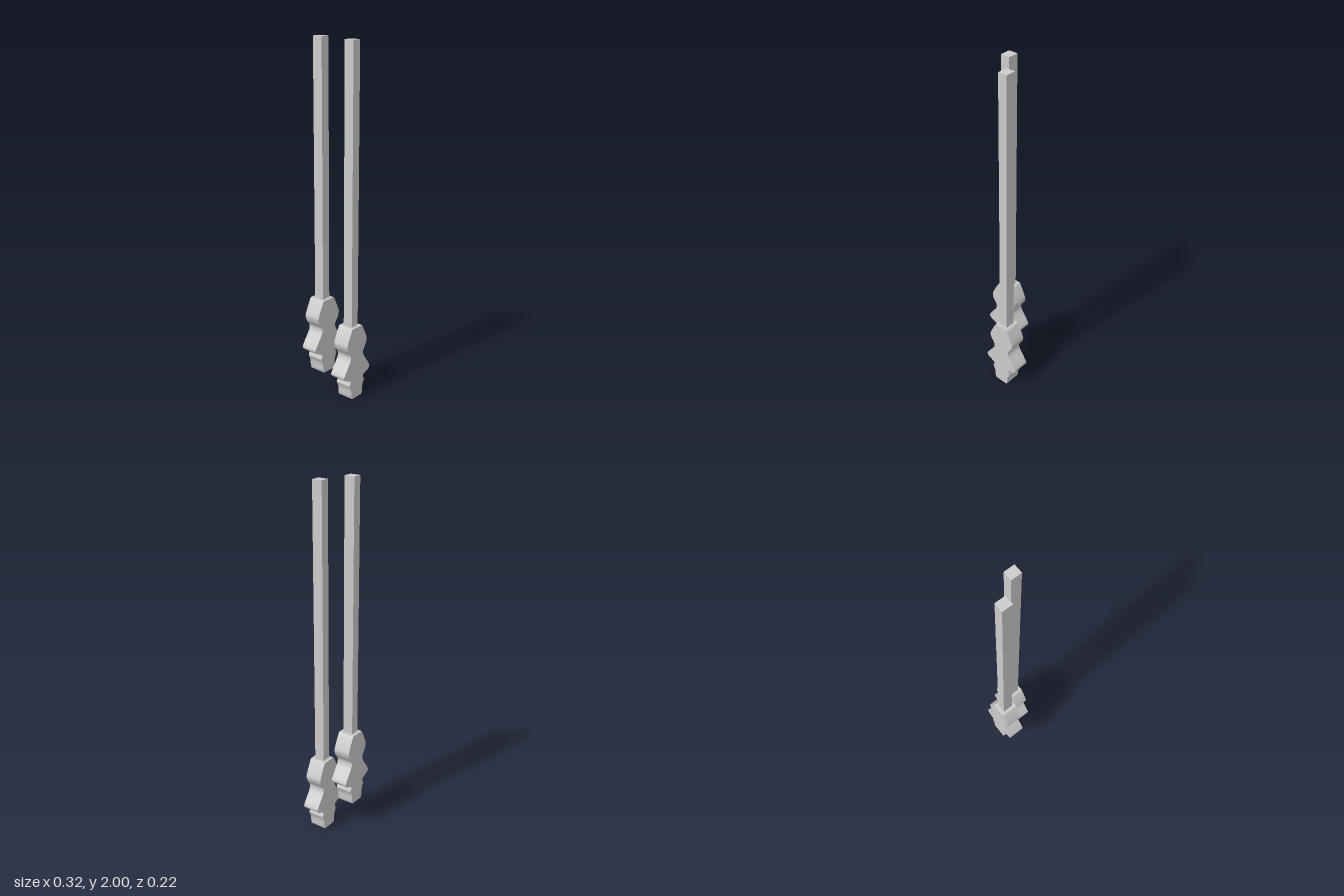
import * as THREE from 'three';
import { toCreasedNormals } from 'three/addons/utils/BufferGeometryUtils.js';

const material = new THREE.MeshStandardMaterial({ color: 0xcccccc });
const HEIGHT = 0.432; // cone height
const DEPTH = 0.096;

// Right half of the pine cone outline, bottom to top: [half width, height]
const outline = [
  [0.046, 0.012], [0.051, 0.06], [0.063, 0.088], [0.056, 0.105], [0.056, 0.118],
  [0.098, 0.137], [0.111, 0.154], [0.099, 0.180], [0.070, 0.222], [0.055, 0.248], [0.054, 0.272],
  [0.076, 0.306], [0.084, 0.335], [0.078, 0.357], [0.046, 0.424],
];

function coneGeometry() {
  const curve = new THREE.CatmullRomCurve3(outline.map(([x, y]) => new THREE.Vector3(x, y, 0)));
  const side = [new THREE.Vector3(0.041, 0, 0), ...curve.getPoints(56), new THREE.Vector3(0.04, HEIGHT, 0)];
  const right = side.map((p) => new THREE.Vector2(p.x, p.y));
  const left = side.map((p) => new THREE.Vector2(-p.x, p.y)).reverse();
  const geometry = new THREE.ExtrudeGeometry(new THREE.Shape([...right, ...left]), {
    depth: DEPTH, bevelEnabled: false,
  });
  geometry.translate(0, 0, -DEPTH / 2);
  return toCreasedNormals(geometry, 0.6);
}

function addBox(group, name, width, depth, bottom, top) {
  const mesh = new THREE.Mesh(new THREE.BoxGeometry(width, top - bottom, depth), material);
  mesh.name = name;
  mesh.position.y = (bottom + top) / 2;
  group.add(mesh);
}

// One hanging weight: cone, thin collar and long square rod
function createWeight(name, x, y, z, top) {
  const weight = new THREE.Group();
  weight.name = name;
  const cone = new THREE.Mesh(coneGeometry(), material);
  cone.name = 'pineCone';
  weight.add(cone);
  addBox(weight, 'collar', 0.059, 0.067, HEIGHT - 0.01, HEIGHT + 0.003);
  addBox(weight, 'rod', 0.051, 0.058, HEIGHT - 0.01, top - y);
  weight.position.set(x, y, z);
  return weight;
}

export function createModel() {
  const model = new THREE.Group();
  model.name = 'pineConeWeights';
  model.add(
    createWeight('frontWeight', 0.048, 0, 0.062, 1.983),
    createWeight('backWeight', -0.049, 0.164, -0.062, 2),
  );
  return model;
}
